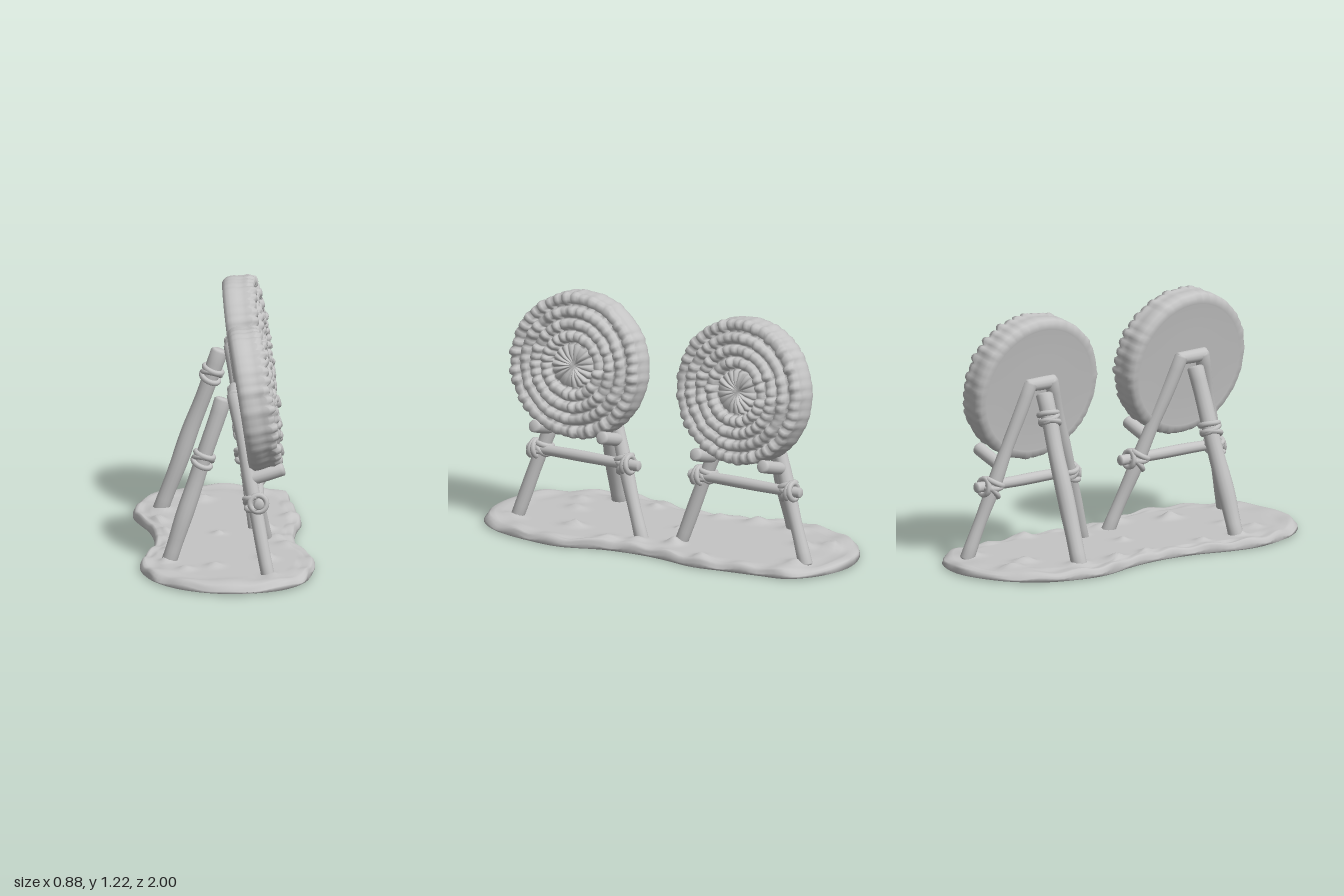
import * as THREE from 'three';
import { mergeVertices } from 'three/addons/utils/BufferGeometryUtils.js';

const stone = new THREE.MeshStandardMaterial({ color: 0xc4c4c4 });
stone.name = 'plain grey';
const V = (x, y, z) => new THREE.Vector3(x, y, z);
const hash = (a, b) => { const s = Math.sin(a * 127.1 + b * 311.7) * 43758.5453; return s - Math.floor(s); };
const wobble = (p, f) => Math.sin(p.x * f + 1.3) * Math.sin(p.y * f * 0.8 + 0.4) + Math.sin(p.z * f * 1.1 + p.y * f * 0.6);

function mesh(name, geo, parent) {
  const m = new THREE.Mesh(geo, stone);
  m.name = name;
  parent.add(m);
  return m;
}

// moves every vertex by a rule, then welds seams and smooths
function sculpt(geo, rule) {
  geo.deleteAttribute('uv');
  geo.deleteAttribute('normal');
  const pos = geo.attributes.position, p = V(0, 0, 0);
  for (let i = 0; i < pos.count; i++) {
    p.fromBufferAttribute(pos, i);
    rule(p);
    pos.setXYZ(i, p.x, p.y, p.z);
  }
  geo = mergeVertices(geo, 1e-4);
  geo.computeVertexNormals();
  return geo;
}

// rough wooden pole with softened ends, running from a to b
function pole(name, a, b, r, parent) {
  const d = b.clone().sub(a), L = d.length(), h = L / 2, c = r * 0.25;
  const prof = [[0, -h], [r - c, -h], [r, -h + c]];
  for (let i = 1; i < 14; i++) prof.push([r, -h + c + (L - 2 * c) * i / 14]);
  prof.push([r, h - c], [r - c, h], [0, h]);
  const geo = sculpt(new THREE.LatheGeometry(prof.map(q => new THREE.Vector2(...q)), 14), p => {
    const k = 1 + 0.06 * wobble(V(p.x + a.z, p.y + a.x, p.z), 21);
    p.x *= k; p.z *= k;
  });
  const m = mesh(name, geo, parent);
  m.position.copy(a).addScaledVector(d, 0.5);
  m.quaternion.setFromUnitVectors(V(0, 1, 0), d.normalize());
  return m;
}

// rope wound round a pole
function lashing(center, dir, r, tilts, parent) {
  tilts.forEach((t, i) => {
    const m = mesh('ropeLashing', new THREE.TorusGeometry(r, 0.014, 8, 22), parent);
    m.position.copy(center).addScaledVector(dir, (i - (tilts.length - 1) / 2) * 0.022);
    m.quaternion.setFromUnitVectors(V(0, 0, 1), dir);
    m.rotateX(t);
  });
}

// round straw target: stepped rings of separate tufts, flat back
function target() {
  const R = 0.36, rings = [0, 0.115, 0.175, 0.235, 0.295, R];
  const lift = [0.082, 0.098, 0.1, 0.094, 0.08], tufts = [18, 24, 32, 38, 44];
  const prof = [[0, -0.075], [0.16, -0.075], [0.31, -0.075], [0.315, -0.08], [0.345, -0.078], [R, -0.06]];
  for (let i = 1; i < 7; i++) prof.push([R + 0.004 * Math.sin(i), -0.06 + 0.018 * i]);
  for (let k = 4; k >= 0; k--) {
    const a = rings[k], b = rings[k + 1], w = b - a;
    prof.push([b - 0.004, lift[k] - 0.025], [b - 0.012, lift[k] - 0.004], [a + w * 0.5, lift[k]]);
    if (k) prof.push([a + 0.014, lift[k] - 0.004], [a + 0.004, lift[k] - 0.028]);
    else prof.push([0.03, lift[0] - 0.012], [0, lift[0] - 0.02]);
  }
  return sculpt(new THREE.LatheGeometry(prof.map(q => new THREE.Vector2(...q)), 176), p => {
    const r = Math.hypot(p.x, p.z), turn = (Math.atan2(p.z, p.x) / (2 * Math.PI) + 1.00001) % 1;
    if (r < 0.01) return;
    let k = 0;
    while (k < 4 && r > rings[k + 1]) k++;
    const u = turn * tufts[k], id = Math.floor(u);
    const round = Math.sqrt(Math.abs(Math.sin(Math.PI * u)));
    if (p.y > 0.045) p.y += (hash(id, k) - 0.5) * 0.022 * round + (round - 0.7) * 0.014;
    if (r > 0.34) {
      const s = 1 + ((hash(id, 9) - 0.5) * 0.03 * round + (round - 0.7) * 0.015) * (p.y > 0 ? 1 : 0.6);
      p.x *= s; p.z *= s;
    }
  });
}

// one easel with its target
function stand(o) {
  const g = new THREE.Group();
  g.name = 'targetStand';
  const disc = mesh('strawTarget', target(), g);
  disc.position.set(o.x, o.y, o.z);
  disc.rotation.set(0, o.yaw, -Math.PI / 2 + 0.15, 'YXZ');
  disc.rotateY(o.spin);

  const apexZ = o.z;
  for (const s of [-1, 1]) {
    // front leg, support peg and lashing
    const foot = V(o.legX, 0.03, o.footZ + s * 0.36), top = V(0.035, 0.9, apexZ + s * 0.06);
    const dir = top.clone().sub(foot).normalize();
    const at = y => foot.clone().addScaledVector(dir, (y - foot.y) / dir.y);
    pole('frontLeg', foot, top, 0.034, g);
    const peg = at(0.5);
    pole('supportPeg', V(0.1, 0.49, peg.z), V(0.28, 0.545, peg.z - s * 0.005), 0.031, g);
    lashing(at(0.39), dir, 0.042, [0.5, -0.45, 0.1], g);
    const knot = at(0.39);
    lashing(V(knot.x + 0.02, 0.39, knot.z + s * 0.03), V(0, 0, 1), 0.04, [0.15, -0.2], g);
  }
  // cross rail and top bar
  const railX = o.legX * 0.55 + 0.045;
  pole('crossRail', V(railX, 0.39, o.footZ - 0.32), V(railX, 0.39, o.footZ + 0.32), 0.027, g);
  pole('topBar', V(0.04, 0.885, apexZ - 0.09), V(0.04, 0.885, apexZ + 0.09), 0.032, g);

  // rear leg with its lashing
  const foot = V(o.rearX, 0.03, o.rearZ), top = V(-0.015, 0.85, apexZ - 0.02);
  pole('rearLeg', foot, top, 0.041, g);
  const dir = top.clone().sub(foot).normalize();
  lashing(foot.clone().addScaledVector(dir, (o.ropeY - 0.03) / dir.y), dir, 0.045, [0.3, -0.35, 0.1], g);
  return g;
}

// waisted ground slab with a rough rim and small mounds
function ground() {
  const outline = [[0, -1], [0.2, -0.95], [0.31, -0.85], [0.335, -0.7], [0.36, -0.5], [0.38, -0.33], [0.35, -0.15],
    [0.34, 0], [0.36, 0.2], [0.43, 0.42], [0.42, 0.6], [0.37, 0.8], [0.25, 0.94], [0.02, 1], [-0.2, 0.93], [-0.35, 0.77],
    [-0.42, 0.55], [-0.41, 0.4], [-0.36, 0.2], [-0.345, 0], [-0.37, -0.2], [-0.44, -0.45], [-0.43, -0.6], [-0.37, -0.78], [-0.22, -0.93]];
  const mounds = [[-0.1, -0.68], [-0.3, -0.08], [-0.32, -0.28], [-0.16, -0.8], [-0.03, -0.02], [-0.28, 0.28], [0.25, 0.06],
    [0.32, -0.35], [0.2, -0.12], [0.22, 0.8], [-0.06, 0.6], [-0.2, 0.66], [0.3, 0.2], [-0.3, -0.5], [-0.29, 0.5], [0.2, 0.45], [0.17, -0.8]];
  const N = 160, edge = new THREE.CatmullRomCurve3(outline.map(q => V(q[0], 0, q[1])), true).getSpacedPoints(N);
  const rows = [[0, 0], [0.97, 0], [1, 0.008], [1, 0.022], [0.99, 0.036], [0.97, 0.046], [0.94, 0.048]];
  for (let i = 1; i <= 26; i++) rows.push([0.94 * (1 - i / 26), 0.046]);
  const pos = [], idx = [];
  rows.forEach(([s, y], i) => {
    for (let j = 0; j < N; j++) {
      const x = edge[j].x * s, z = edge[j].z * s;
      let h = y, k = 1;
      if (i > 2) {
        if (s > 0.85) {
          h += 0.007 * wobble(V(x, 0, z), 27);
          k += s > 0.96 ? 0.006 * wobble(V(x, z, y * 6), 31) - 0.006 : 0;
        }
        mounds.forEach(([mx, mz], m) => {
          const w = 0.028 + 0.018 * hash(m, 3);
          h += (0.018 + 0.02 * hash(m, 5)) * Math.exp(-((x - mx) ** 2 + (z - mz) ** 2) / (w * w)) * Math.min(1, i / 6);
        });
      }
      pos.push(x * k, h, z * k);
      if (i < rows.length - 1) {
        const a = i * N + j, b = i * N + (j + 1) % N;
        idx.push(a, a + N, b, a + N, b + N, b);
      }
    }
  });
  const geo = new THREE.BufferGeometry();
  geo.setAttribute('position', new THREE.Float32BufferAttribute(pos, 3));
  geo.setIndex(idx);
  return sculpt(geo, () => {});
}

export function createModel() {
  const g = new THREE.Group();
  g.name = 'practiceTargets';
  mesh('groundSlab', ground(), g);
  g.add(stand({ x: 0.137, y: 0.85, z: 0.46, yaw: 0.03, spin: 0, legX: 0.2, footZ: 0.425, rearX: -0.285, rearZ: 0.49, ropeY: 0.55 }));
  g.add(stand({ x: 0.122, y: 0.86, z: -0.475, yaw: -0.03, spin: 2, legX: 0.15, footZ: -0.485, rearX: -0.31, rearZ: -0.5, ropeY: 0.73 }));
  return g;
}
